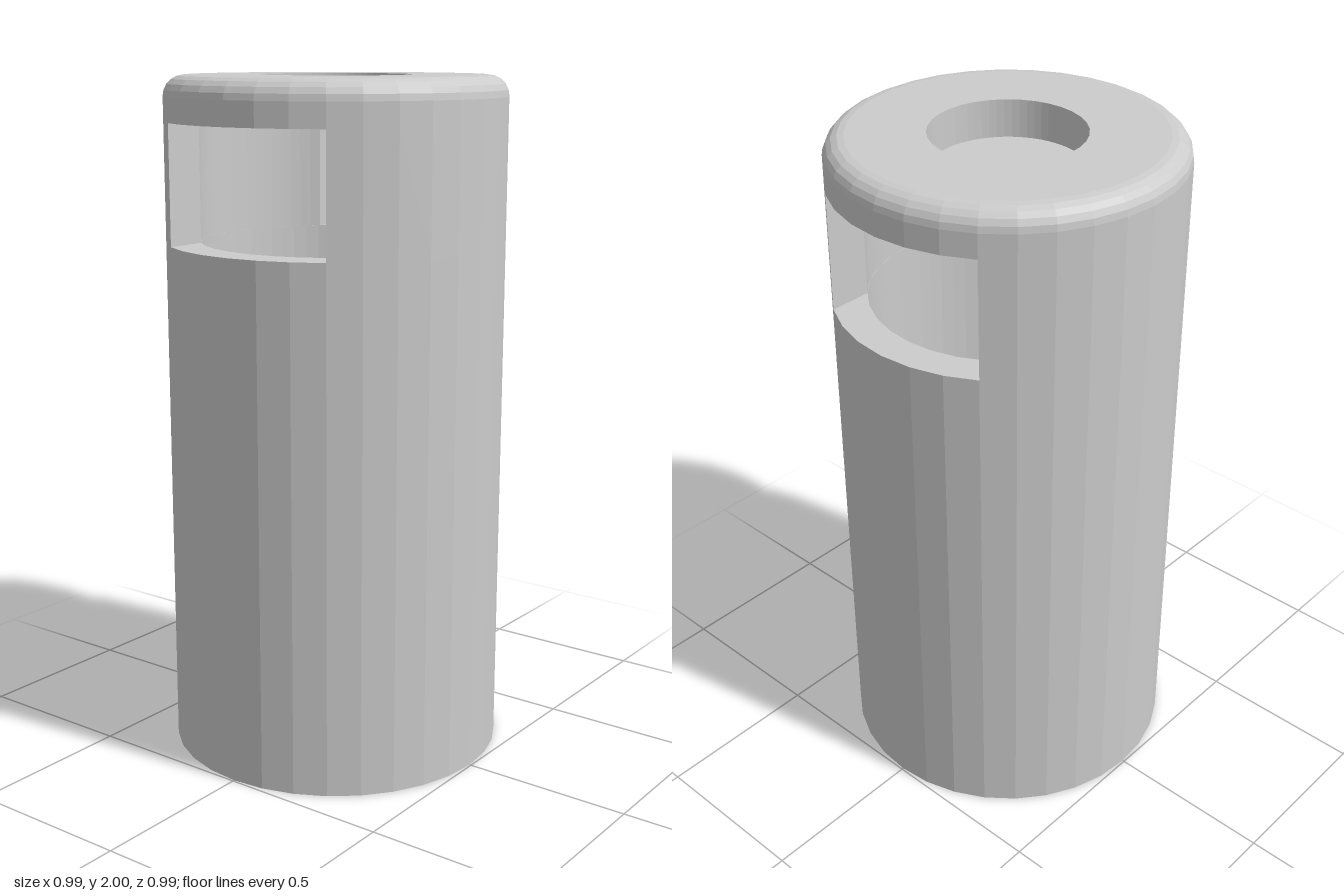
import * as THREE from 'three';

const R = 0.495, INNER = 0.395, RECESS = 0.217;
const SILL = 1.525, LINTEL = 1.87, TOP = 2, FILLET = 0.06;
const SIDES = 32, FINE = 64;

export function createModel() {
  const model = new THREE.Group();
  model.name = 'slottedCylinder';
  const material = new THREE.MeshStandardMaterial({ color: 0xcccccc, flatShading: true, side: THREE.DoubleSide });

  const add = (name, geometry) => {
    const mesh = new THREE.Mesh(geometry, material);
    mesh.name = name;
    model.add(mesh);
    return mesh;
  };
  const lathe = (name, profile, sides) =>
    add(name, new THREE.LatheGeometry(profile.map(([r, y]) => new THREE.Vector2(r, y)), sides));

  // Faceted lower body with the sill ring, and the round bore inside it
  lathe('body', [[0, 0], [R, 0], [R, SILL], [INNER, SILL]], SIDES);
  lathe('bore', [[INNER, SILL], [INNER, 0.1], [0, 0.1]], FINE);

  // Two curved pillars that leave a window open on each side
  const start = 3 * Math.PI * 2 / SIDES;
  const innerStart = Math.asin(R * Math.sin(start) / INNER);
  const pillarShape = new THREE.Shape();
  const steps = 10;
  for (let i = 0; i <= steps; i++) {
    const a = start + (Math.PI - 2 * start) * i / steps;
    const x = R * Math.cos(a), y = R * Math.sin(a);
    i ? pillarShape.lineTo(x, y) : pillarShape.moveTo(x, y);
  }
  for (let i = 0; i <= 2 * steps; i++) {
    const a = Math.PI - innerStart - (Math.PI - 2 * innerStart) * i / (2 * steps);
    pillarShape.lineTo(INNER * Math.cos(a), INNER * Math.sin(a));
  }
  pillarShape.closePath();
  const pillar = new THREE.ExtrudeGeometry(pillarShape, { depth: LINTEL - SILL, bevelEnabled: false });
  pillar.rotateX(-Math.PI / 2).translate(0, SILL, 0);
  add('backPillar', pillar);
  add('frontPillar', pillar).rotation.y = Math.PI;

  // Cap with a rounded rim
  const rim = [];
  for (let i = 0; i <= 5; i++) {
    const a = Math.PI / 2 * i / 5;
    rim.push([R - FILLET + FILLET * Math.cos(a), TOP - FILLET + FILLET * Math.sin(a)]);
  }
  lathe('cap', [[INNER, LINTEL], [R, LINTEL], ...rim, [RECESS, TOP]], SIDES);

  // Shallow round recess in the cap, and the ceiling it hangs from
  lathe('recess', [[RECESS, TOP], [RECESS, 1.89], [0, 1.89]], FINE);
  lathe('ceiling', [[0, 1.88], [RECESS, 1.88], [RECESS, 1.98], [INNER, 1.98], [INNER, LINTEL]], FINE);

  return model;
}
